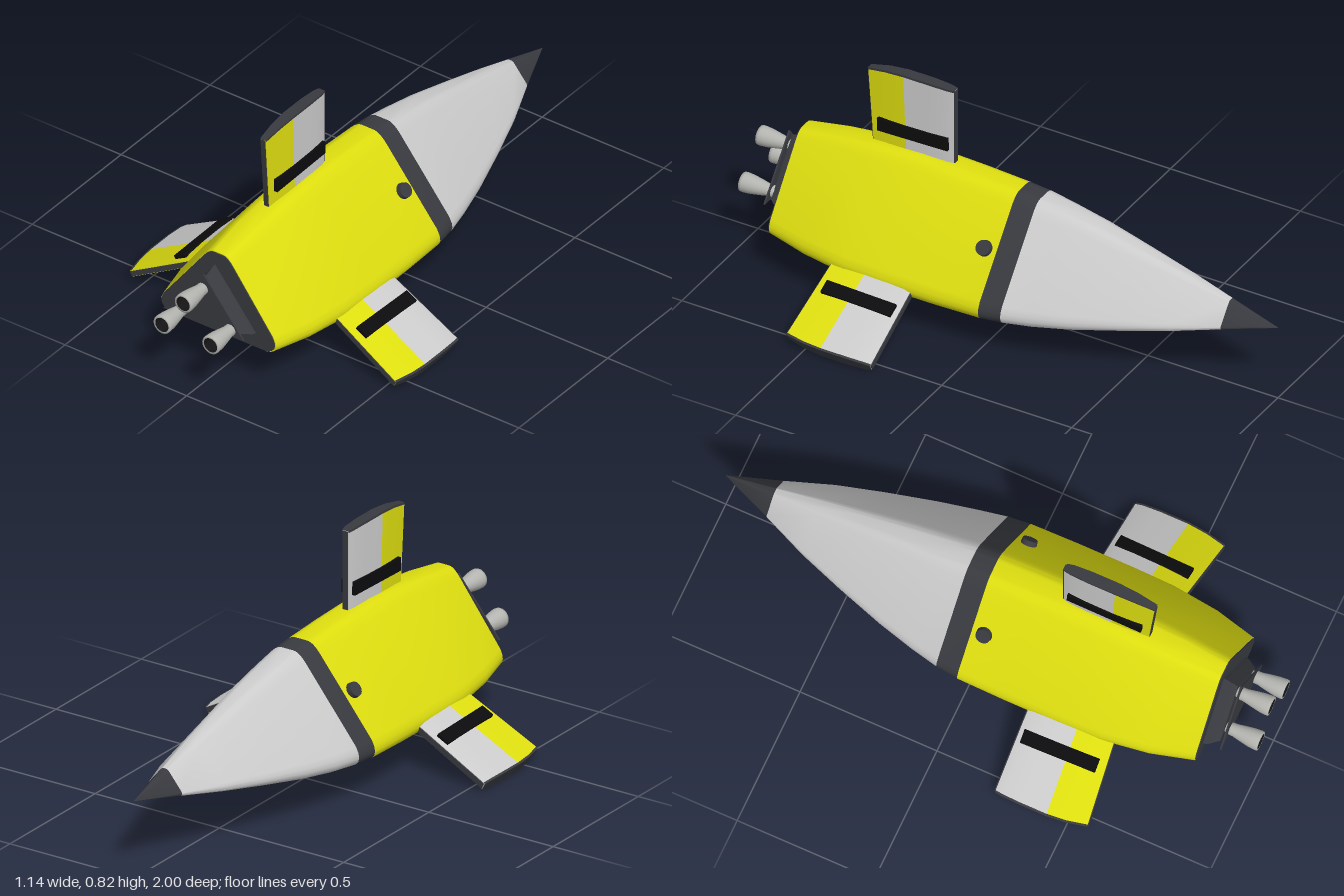
import * as THREE from 'three';
import { toCreasedNormals } from 'three/addons/utils/BufferGeometryUtils.js';

const mat = (color, side = THREE.FrontSide) => new THREE.MeshStandardMaterial({ color, side });
const yellow = mat(0xdede10), grey = mat(0xcccccc), dark = mat(0x383a3f), black = mat(0x0c0c0e);

function add(parent, name, geometry, material) {
  const mesh = new THREE.Mesh(geometry, material);
  mesh.name = name;
  parent.add(mesh);
  return mesh;
}

// Closed skin over rings (counter-clockwise seen from +z, ordered by rising z)
function loft(rings, crease = 0.6) {
  const n = rings[0].length, pos = [], idx = [];
  rings.forEach(r => r.forEach(p => pos.push(p.x, p.y, p.z)));
  for (let i = 0; i < rings.length - 1; i++) {
    for (let j = 0; j < n; j++) {
      const a = i * n + j, b = i * n + (j + 1) % n;
      idx.push(a, b, a + n, b, b + n, a + n);
    }
  }
  [rings[0], rings[rings.length - 1]].forEach((ring, end) => {
    const c = ring.reduce((s, p) => s.add(p), new THREE.Vector3()).divideScalar(n);
    const centre = pos.length / 3, base = end ? (rings.length - 1) * n : 0;
    pos.push(c.x, c.y, c.z);
    for (let j = 0; j < n; j++) {
      const a = base + j, b = base + (j + 1) % n;
      if (end) idx.push(centre, a, b);
      else idx.push(centre, b, a);
    }
  });
  const g = new THREE.BufferGeometry();
  g.setAttribute('position', new THREE.Float32BufferAttribute(pos, 3));
  g.setIndex(idx);
  return toCreasedNormals(g, crease);
}

// Rounded triangle: x from -1 to 1, y from 0 to 1
function hullProfile() {
  const s = new THREE.Shape();
  s.moveTo(-0.84, 0);
  s.lineTo(0.84, 0);
  s.bezierCurveTo(0.97, 0.02, 1.05, 0.08, 0.95, 0.21);
  s.lineTo(0.26, 0.9);
  s.quadraticCurveTo(0.16, 1, 0.08, 1);
  s.lineTo(-0.08, 1);
  s.quadraticCurveTo(-0.16, 1, -0.26, 0.9);
  s.lineTo(-0.95, 0.21);
  s.bezierCurveTo(-1.05, 0.08, -0.97, 0.02, -0.84, 0);
  const pts = s.getPoints(6);
  if (pts[0].distanceTo(pts[pts.length - 1]) < 1e-4) pts.pop();
  return pts;
}

// Hull stations: z, half width, bottom, top
const stations = [
  [-1, 0.001, 0.279, 0.281], [-0.82, 0.07, 0.248, 0.333], [-0.66, 0.135, 0.22, 0.378],
  [-0.5, 0.187, 0.193, 0.42], [-0.33, 0.237, 0.165, 0.463], [-0.2, 0.269, 0.149, 0.488],
  [-0.1, 0.29, 0.142, 0.505], [-0.02, 0.299, 0.138, 0.512], [0.15, 0.302, 0.135, 0.522],
  [0.35, 0.302, 0.134, 0.529], [0.5, 0.298, 0.138, 0.522], [0.67, 0.276, 0.149, 0.503],
  [0.82, 0.237, 0.16, 0.478],
];

function hullPart(z0, z1) {
  const profile = hullProfile();
  return loft(stations.filter(s => s[0] >= z0 && s[0] <= z1).map(([z, w, lo, hi]) =>
    profile.map(p => new THREE.Vector3(p.x * w, lo + p.y * (hi - lo), z))));
}

// Fin standing along +y with its tip near y = 0: z, half thickness, tip height
const finStations = [
  [0.24, 0.012, -0.005], [0.265, 0.017, -0.003], [0.33, 0.02, -0.001], [0.43, 0.02, -0.001],
  [0.5, 0.017, -0.007], [0.57, 0.011, -0.021],
];

function finPart(from, to, rootY, lift = 0, grow = 1) {
  return loft(finStations.slice(from, to).map(([z, h, tip]) => {
    const top = tip + lift, root = rootY === null ? tip - 0.006 : rootY;
    const zAt = y => z + (z - 0.24) * 0.22 * Math.min(0, y + 0.02);
    const t = h * grow;
    return [[-t, root], [t, root], [t, top], [-t, top]]
      .map(([x, y]) => new THREE.Vector3(x, y, zAt(y)));
  }), 0.5);
}

function makeFin(name, x, y, angle) {
  const fin = new THREE.Group();
  fin.name = name;
  add(fin, 'finFront', finPart(0, 4, -0.33), grey);
  add(fin, 'finRear', finPart(3, 6, -0.33), yellow);
  add(fin, 'finTipCap', finPart(0, 6, null, 0.002, 1.03), dark);
  // Dark trim along leading and trailing edges
  const lead = add(fin, 'leadingEdge', new THREE.BoxGeometry(0.02, 0.31, 0.006), dark);
  lead.position.set(0, -0.162, 0.239);
  const trail = add(fin, 'trailingEdge', new THREE.BoxGeometry(0.018, 0.3, 0.006), dark);
  trail.position.set(0, -0.171, 0.559);
  trail.rotation.x = 0.072;
  const band = add(fin, 'finBand', new THREE.BoxGeometry(0.054, 0.048, 0.27), black);
  band.position.set(0, -0.22, 0.392);
  band.rotation.x = 0.025;
  fin.position.set(x, y, 0);
  fin.rotation.z = angle;
  return fin;
}

// Small triangle ring used by the engine mount
const triangle = (half, lo, hi, cx, z) => [[-half, lo], [half, lo], [0, hi]]
  .map(([x, y]) => new THREE.Vector3(cx + x, y, z));

function makeNozzle(x, y) {
  const nozzle = new THREE.Group();
  nozzle.name = 'nozzle';
  const lathe = pts => new THREE.LatheGeometry(pts.map(p => new THREE.Vector2(...p)), 24);
  add(nozzle, 'bell', lathe([[0.014, 0.87], [0.022, 0.885], [0.022, 0.905], [0.027, 0.93],
    [0.033, 0.965], [0.035, 0.99], [0.034, 1], [0.027, 1]]), mat(0xb4b4b0, THREE.DoubleSide));
  add(nozzle, 'bellInside', lathe([[0.027, 1], [0.025, 0.96], [0.017, 0.92], [0, 0.92]]),
    mat(0x141416, THREE.DoubleSide));
  nozzle.rotation.x = Math.PI / 2;
  nozzle.position.set(x, y, 0);
  return nozzle;
}

export function createModel() {
  const model = new THREE.Group();
  model.name = 'rocket';

  // Hull
  add(model, 'noseTip', hullPart(-1, -0.82), dark);
  add(model, 'noseCone', hullPart(-0.82, -0.1), grey);
  add(model, 'hullBand', hullPart(-0.1, -0.02), dark);
  add(model, 'hull', hullPart(-0.02, 0.82), yellow);
  const [, w, lo, hi] = stations[stations.length - 1];
  add(model, 'rearPlate', loft([0.81, 0.824].map(z => hullProfile().map(p =>
    new THREE.Vector3(p.x * w * 0.985, lo + 0.003 + p.y * (hi - lo - 0.006), z)))), dark);

  // Engine mount and nozzles
  add(model, 'engineMount', loft([triangle(0.17, 0.218, 0.43, -0.012, 0.815),
    triangle(0.165, 0.222, 0.425, -0.012, 0.84), triangle(0.14, 0.232, 0.41, -0.012, 0.875)]), dark);
  add(model, 'mountPlate', loft([triangle(0.165, 0.222, 0.424, -0.012, 0.884),
    triangle(0.165, 0.222, 0.424, -0.012, 0.89)]), dark);
  [[-0.015, 0.366], [-0.102, 0.245], [0.098, 0.245]].forEach(([x, y]) => model.add(makeNozzle(x, y)));

  // Fins
  const lean = THREE.MathUtils.degToRad(118.5);
  model.add(makeFin('topFin', 0, 0.815, 0));
  model.add(makeFin('leftFin', 0.56, 0.019, -lean));
  model.add(makeFin('rightFin', -0.56, 0.019, lean));

  // Round ports, one on each hull face
  [[0.18, 0.355, -0.95], [-0.18, 0.355, 0.95], [0, 0.136, Math.PI]].forEach(([x, y, turn]) => {
    const port = add(model, 'port', new THREE.CylinderGeometry(0.026, 0.029, 0.024, 24), dark);
    port.position.set(x, y, 0.025);
    port.rotation.z = turn;
  });
  return model;
}
